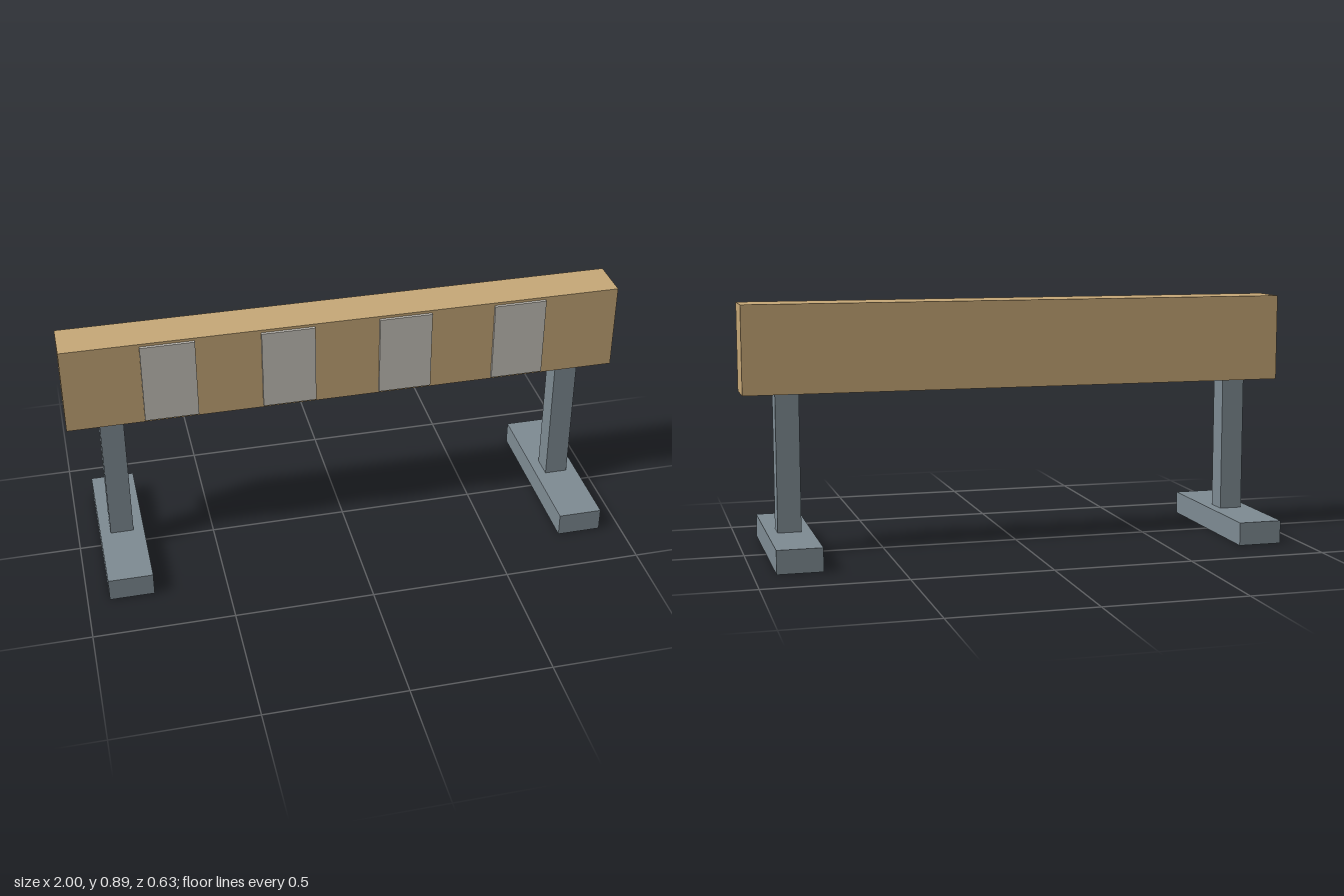
import * as THREE from 'three';

export function createModel() {
  const mat = (name, color) => Object.assign(new THREE.MeshStandardMaterial({ color }), { name });
  const wood = mat('tan wood', 0xc8a978);
  const steel = mat('blue grey steel', 0x7f8c94);
  const pale = mat('pale grey', 0xc8c4bc);

  const model = new THREE.Group();
  model.name = 'barrier';

  // Box centred on x and z, given by its bottom and top heights
  const box = (name, material, width, depth, bottom, top, x = 0, z = 0) => {
    const mesh = new THREE.Mesh(new THREE.BoxGeometry(width, top - bottom, depth), material);
    mesh.name = name;
    mesh.position.set(x, (bottom + top) / 2, z);
    model.add(mesh);
  };

  // Long beam
  box('beam', wood, 2, 0.158, 0.58, 0.895);

  // Post and foot at each end
  for (const [side, x] of [['left', 0.842], ['right', -0.842]]) {
    box(side + 'Post', steel, 0.084, 0.084, 0.084, 0.58, x);
    box(side + 'Foot', steel, 0.16, 0.632, 0, 0.084, x);
  }

  // Four plates on the front of the beam
  for (let i = 0; i < 4; i++) {
    box('frontPlate' + (i + 1), pale, 0.19, 0.0105, 0.59, 0.885, (i - 1.5) * 0.421, 0.0842);
  }

  return model;
}
